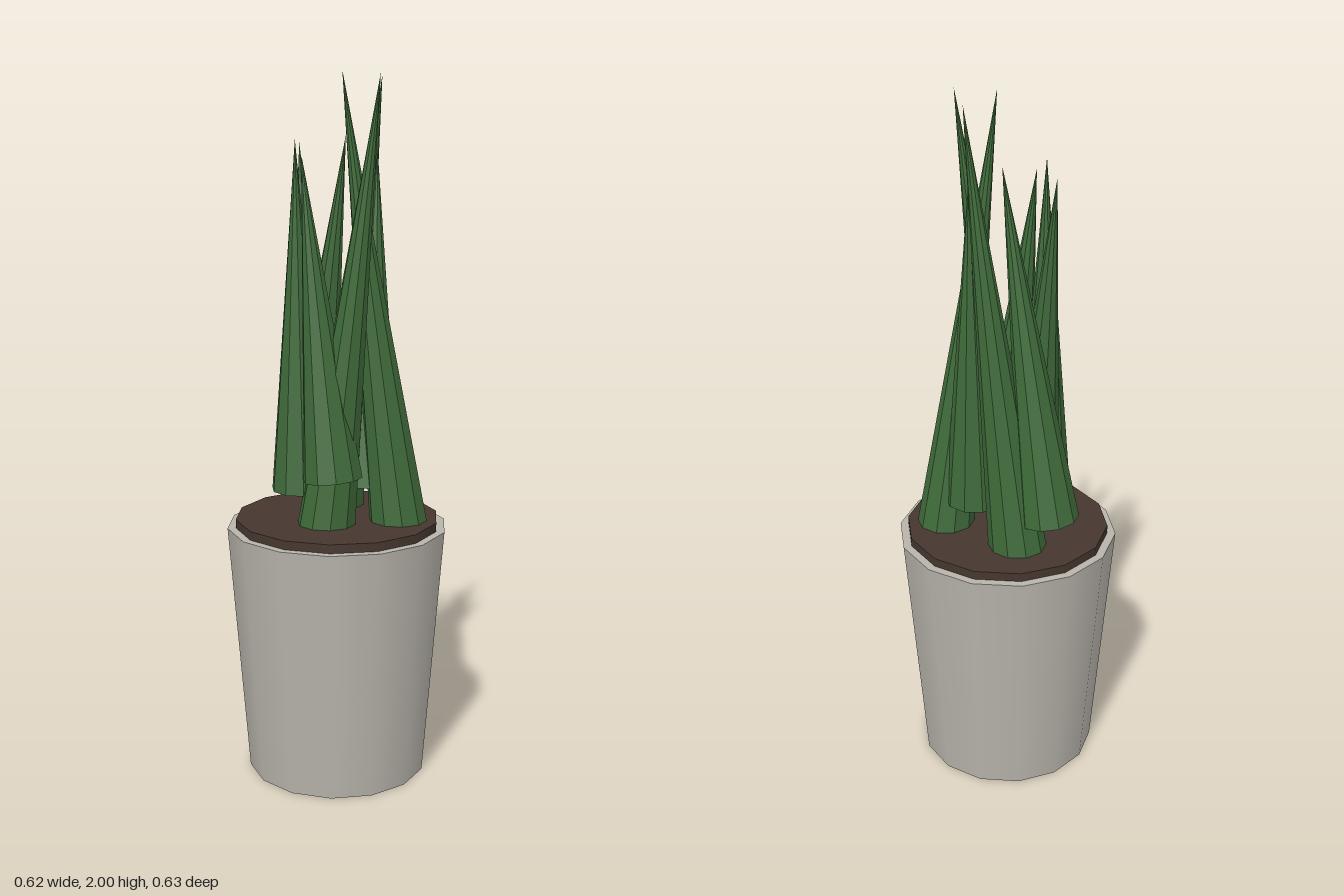
import * as THREE from 'three';

export function createModel() {
  const model = new THREE.Group();
  const mat = (name, color, flatShading = false) => {
    const m = new THREE.MeshStandardMaterial({ color, flatShading });
    m.name = name;
    return m;
  };
  const potMat = mat('stone grey', 0xb8b4ac);
  const soilMat = mat('soil brown', 0x46372f);
  const leafMat = mat('leaf green', 0x3f6b3a, true);

  const add = (name, geometry, material) => {
    const mesh = new THREE.Mesh(geometry, material);
    mesh.name = name;
    model.add(mesh);
    return mesh;
  };

  // Tapered 14-sided pot with a disc of soil standing slightly proud of the rim
  add('pot', new THREE.CylinderGeometry(0.317, 0.26, 0.732, 14), potMat).position.y = 0.366;
  add('soil', new THREE.CylinderGeometry(0.293, 0.293, 0.05, 14), soilMat).position.y = 0.732;

  // Spiky leaves: leaning cones, each from a base centre to a tip
  const leaves = [
    [[-0.158, 0.85, -0.104], [-0.007, 1.83, -0.062]],
    [[-0.07, 0.73, -0.115], [0.079, 1.99, -0.113]],
    [[0.175, 0.73, -0.05], [0.043, 2.0, 0.048]],
    [[0.082, 0.85, -0.055], [0.07, 1.79, -0.105]],
    [[0.01, 0.73, 0.083], [0.17, 1.99, 0.07]],
    [[-0.06, 0.84, 0.03], [-0.15, 1.81, -0.05]],
    [[-0.085, 0.84, 0.06], [-0.08, 1.82, 0.09]],
    [[0.049, 0.895, 0.11], [-0.045, 1.78, 0.115]],
  ];
  const up = new THREE.Vector3(0, 1, 0);
  leaves.forEach(([b, t], i) => {
    const base = new THREE.Vector3(...b);
    const tip = new THREE.Vector3(...t);
    const axis = tip.clone().sub(base);
    const length = axis.length();
    const leaf = add(`leaf${i + 1}`, new THREE.ConeGeometry(0.084, length, 10), leafMat);
    leaf.position.copy(base).add(tip).multiplyScalar(0.5);
    leaf.quaternion.setFromUnitVectors(up, axis.normalize());
  });

  return model;
}
